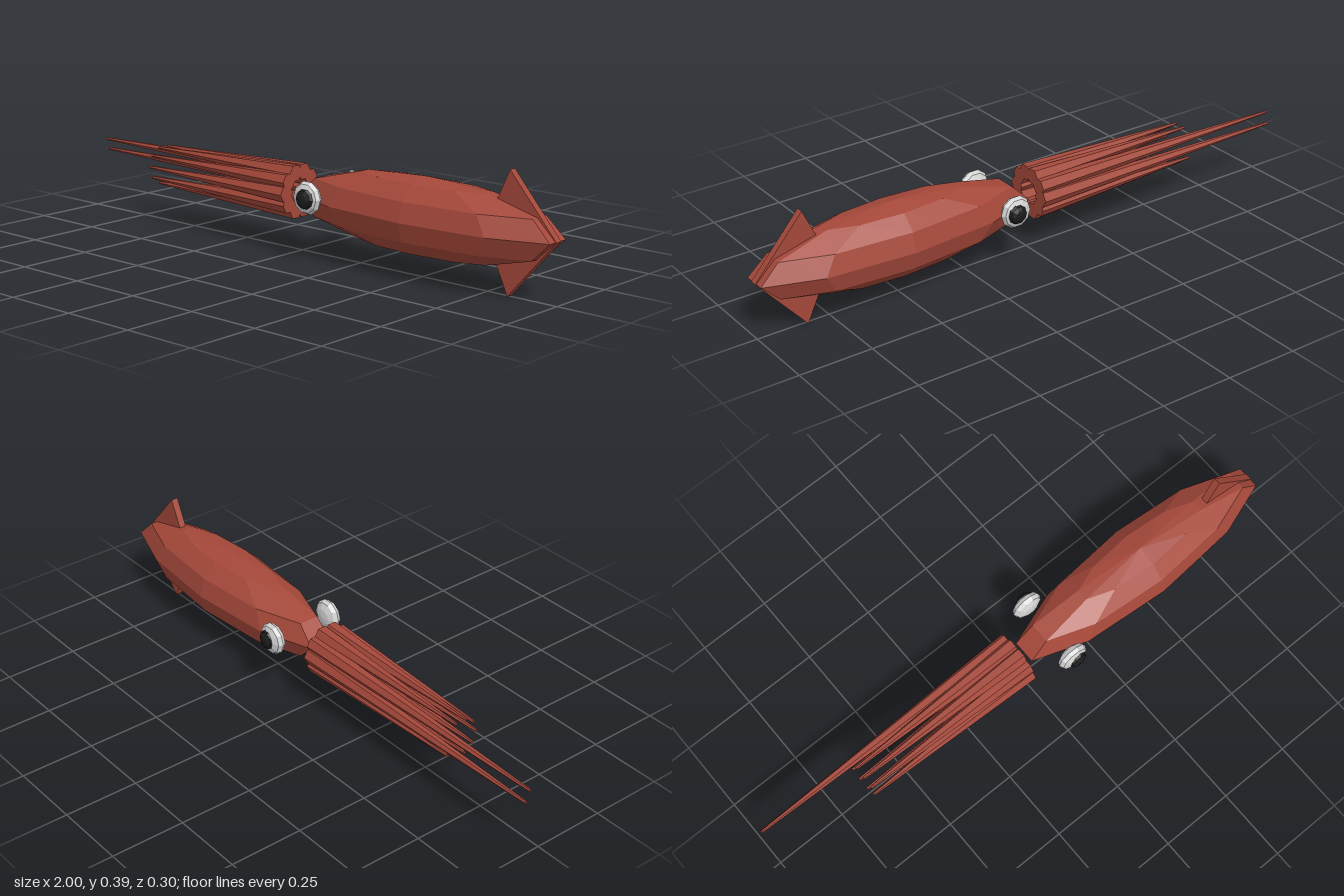
import * as THREE from 'three';

const flat = (name, color) => {
  const m = new THREE.MeshStandardMaterial({ color, flatShading: true });
  m.name = name;
  return m;
};

export function createModel() {
  const squid = new THREE.Group();
  squid.name = 'squid';
  const red = flat('skinRed', 0xa5483a);
  const white = flat('eyeWhite', 0xd2d2d2);
  const black = flat('pupilBlack', 0x1c1c1c);
  const midY = 0.195;

  const add = (name, geometry, material, x, y, z) => {
    const mesh = new THREE.Mesh(geometry, material);
    mesh.name = name;
    mesh.position.set(x, y, z);
    squid.add(mesh);
    return mesh;
  };

  // Mantle: a stretched faceted ball with a short level edge at each end
  const mantle = new THREE.SphereGeometry(1, 10, 6);
  mantle.rotateY(Math.PI / 10);
  mantle.scale(0.515, 0.126, 0.13);
  add('mantle', mantle, red, 0.507, midY, 0);

  // Tail fin: one thin upright plate reaching above and below the mantle
  const finShape = new THREE.Shape([
    [1, 0], [0.83, 0.193], [0.74, 0], [0.83, -0.193],
  ].map(([x, y]) => new THREE.Vector2(x, y)));
  const fin = new THREE.ExtrudeGeometry(finShape, { depth: 0.024, bevelEnabled: false });
  add('tailFin', fin, red, 0, midY, -0.012);

  // Eyes: flattened balls, each with a pupil bulging outwards
  const ball = new THREE.SphereGeometry(1, 10, 6);
  ball.rotateX(Math.PI / 2);
  for (const side of [1, -1]) {
    const label = side > 0 ? 'front' : 'back';
    add(label + 'Eye', ball, white, 0.125, 0.213, side * 0.115).scale.set(0.055, 0.055, 0.027);
    add(label + 'Pupil', ball, black, 0.13, 0.213, side * 0.133).scale.set(0.034, 0.034, 0.019);
  }

  // Arms: a ring of ten tapered spikes, two neighbours being long tentacles
  const baseX = -0.01, ring = 0.065;
  for (let i = 0; i < 10; i++) {
    const angle = i * Math.PI / 5;
    const long = i < 2;
    const length = long ? 0.99 : 0.64;
    const spike = new THREE.CylinderGeometry(0.005, 0.029, length, 6);
    spike.rotateZ(Math.PI / 2);
    add(long ? 'tentacle' : 'arm', spike, red, baseX - length / 2,
      midY + 0.002 + ring * Math.sin(angle), -ring * Math.cos(angle));
  }
  return squid;
}
